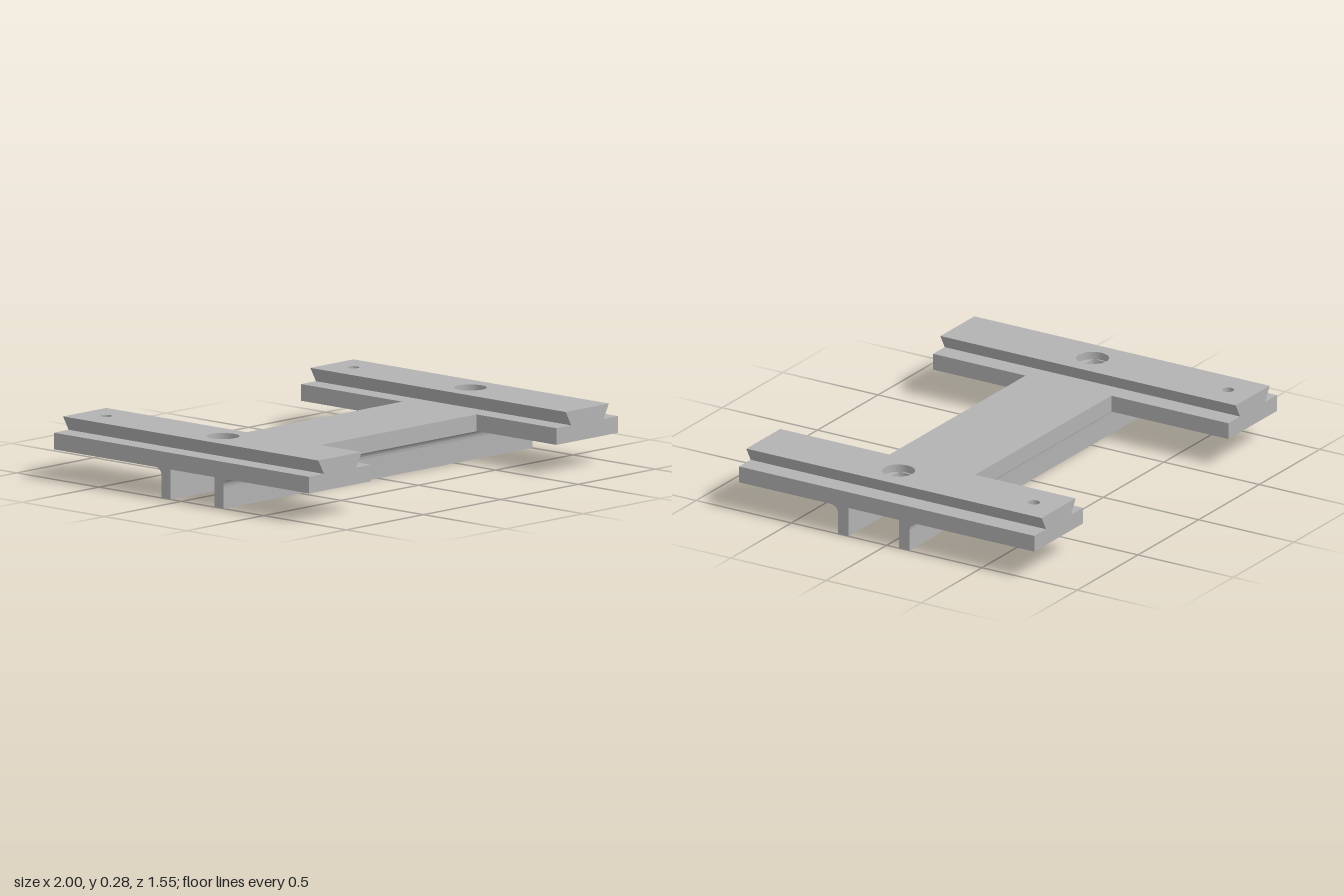
import * as THREE from 'three';
import { toCreasedNormals } from 'three/addons/utils/BufferGeometryUtils.js';

const RAIL_X = 0.8, BORE_Z = 0.065, BORE_R = 0.073, PIN_Z = -0.645, PIN_R = 0.027;
const PLATE_Y = 0.135, RAIL_Y = 0.21, LEDGE_Y = 0.24, TOP_Y = 0.275;

// Shapes are drawn in plan as (x, -z)
const polygon = (pts) => new THREE.Shape(pts.map(([x, z]) => new THREE.Vector2(x, -z)));

function circleHole(x, z, r) {
  const p = new THREE.Path();
  p.absarc(x, -z, r, 0, Math.PI * 2, false);
  return p;
}

// Round hole with two flats, front and back
function flattedHole(x, z, r, half) {
  const a = Math.asin(half / r);
  const p = new THREE.Path();
  p.absarc(x, -z, r, -a, a, false);
  p.absarc(x, -z, r, Math.PI - a, Math.PI + a, false);
  p.closePath();
  return p;
}

// Stand a plan shape up between two heights
function slab(shape, y0, y1) {
  const g = new THREE.ExtrudeGeometry(shape, { depth: y1 - y0, bevelEnabled: false, curveSegments: 24 });
  return g.rotateX(-Math.PI / 2).translate(0, y0, 0);
}

// Half width of the dovetail at a given height
const railHalf = (y) => THREE.MathUtils.mapLinear(y, RAIL_Y, TOP_Y, 0.104, 0.14);

// One layer of the dovetail rail: straight slab with its outer sides slanted
function railLayer(y0, y1, bore) {
  const w = railHalf(y1), d = 0.775;
  const shape = polygon([[-w, d], [w, d], [w, -d], [-w, -d]]);
  shape.holes.push(bore, circleHole(0, PIN_Z, PIN_R));
  const g = slab(shape, y0, y1);
  const p = g.attributes.position;
  for (let i = 0; i < p.count; i++) {
    if (Math.abs(p.getX(i)) > w - 1e-4) p.setX(i, Math.sign(p.getX(i)) * railHalf(p.getY(i)));
  }
  return g;
}

export function createModel() {
  const grey = new THREE.MeshStandardMaterial({ color: 0xb2b2b2 });
  grey.name = 'plain grey';
  const model = new THREE.Group();
  model.name = 'railBracket';

  const add = (parent, name, geometry) => {
    const mesh = new THREE.Mesh(toCreasedNormals(geometry, 0.6), grey);
    mesh.name = name;
    parent.add(mesh);
    return mesh;
  };

  // H-shaped base plate with through holes
  const plate = polygon([
    [-1, 0.775], [-0.6, 0.775], [-0.6, 0.29], [0.6, 0.29], [0.6, 0.775], [1, 0.775],
    [1, -0.775], [0.6, -0.775], [0.6, -0.16], [-0.6, -0.16], [-0.6, -0.775], [-1, -0.775],
  ]);
  for (const s of [-1, 1]) {
    plate.holes.push(flattedHole(s * RAIL_X, BORE_Z, BORE_R, 0.04), circleHole(s * RAIL_X, PIN_Z, PIN_R));
  }
  add(model, 'basePlate', slab(plate, PLATE_Y, RAIL_Y));

  // Dovetail rails, each with a round pocket over the flatted hole
  for (const [side, s] of [['left', 1], ['right', -1]]) {
    const rail = new THREE.Group();
    rail.name = side + 'Rail';
    rail.position.x = s * RAIL_X;
    add(rail, 'railLower', railLayer(RAIL_Y, LEDGE_Y, flattedHole(0, BORE_Z, BORE_R, 0.04)));
    add(rail, 'railUpper', railLayer(LEDGE_Y, TOP_Y, circleHole(0, BORE_Z, BORE_R)));
    model.add(rail);
  }

  // Underside ribs with a concave fillet on the outer side; profile in (z, y)
  const r = 0.037, inner = 0.1325, outer = 0.1875;
  const profile = new THREE.Shape();
  profile.moveTo(inner, 0);
  profile.lineTo(outer, 0);
  profile.lineTo(outer, PLATE_Y - r);
  profile.absarc(outer + r, PLATE_Y - r, r, Math.PI, Math.PI / 2, true);
  profile.lineTo(inner, PLATE_Y);
  profile.closePath();
  const ribGeometry = new THREE.ExtrudeGeometry(profile, { depth: 2, bevelEnabled: false, curveSegments: 12 });
  ribGeometry.rotateY(-Math.PI / 2).translate(1, 0, 0);
  for (const [name, turn] of [['frontRib', 0], ['backRib', Math.PI]]) {
    const rib = add(model, name, ribGeometry);
    rib.position.z = 0.0675;
    rib.rotation.y = turn;
  }

  return model;
}
